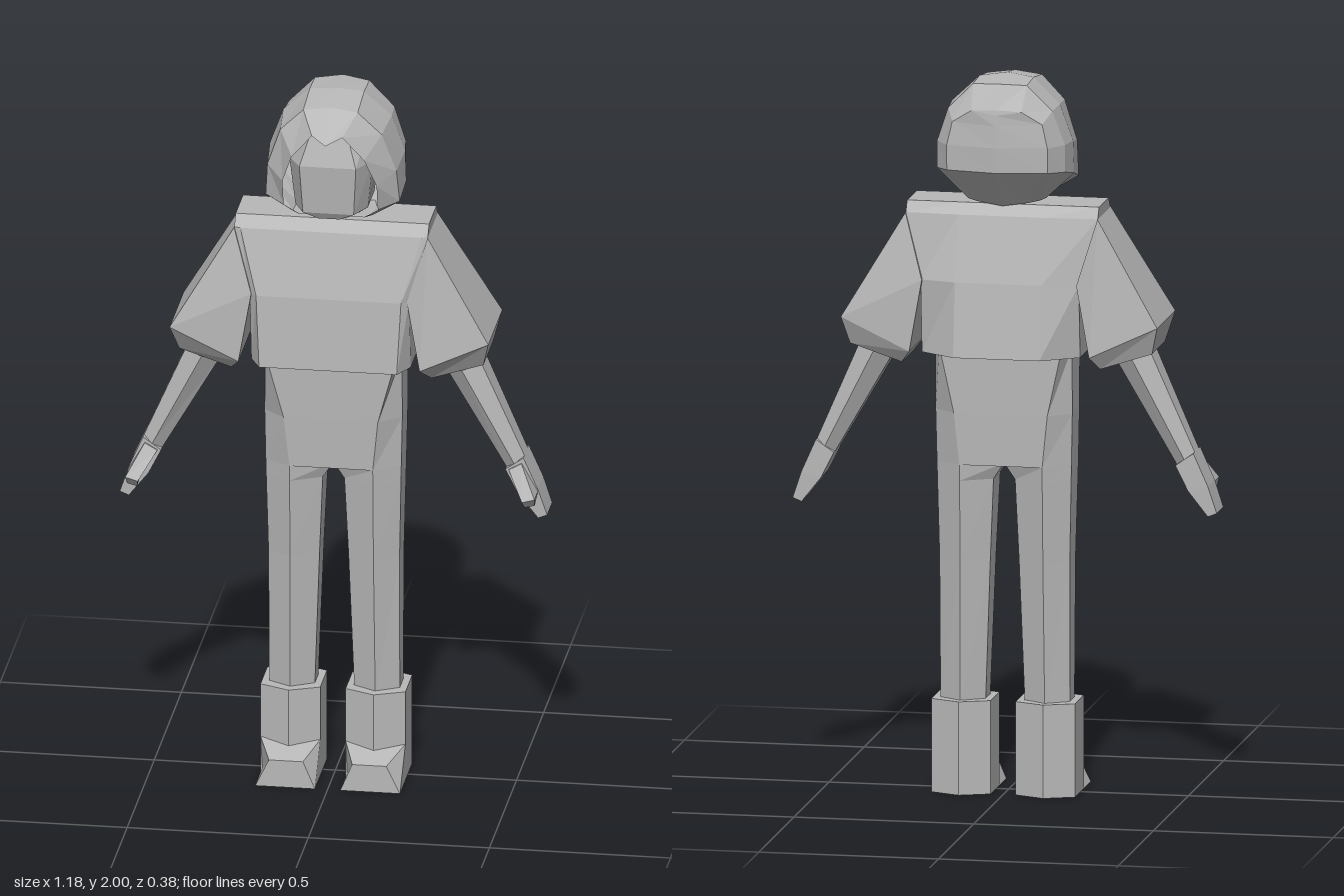
import * as THREE from 'three';

const grey = new THREE.MeshStandardMaterial({ color: 0xb8b8b8, flatShading: true, side: THREE.DoubleSide });
grey.name = 'grey';

// Skin a list of cross-sections (bottom to top, anticlockwise from above)
function loft(rings, { closed = true, caps = true } = {}) {
  const pos = [];
  const tri = (a, b, c) => pos.push(...a, ...b, ...c);
  const n = rings[0].length;
  for (let r = 0; r < rings.length - 1; r++) {
    const a = rings[r], b = rings[r + 1];
    for (let i = 0; i < (closed ? n : n - 1); i++) {
      const j = (i + 1) % n;
      tri(a[i], a[j], b[j]);
      tri(a[i], b[j], b[i]);
    }
  }
  if (caps) {
    const lo = rings[0], hi = rings[rings.length - 1];
    for (let i = 1; i < n - 1; i++) {
      tri(lo[0], lo[i + 1], lo[i]);
      tri(hi[0], hi[i], hi[i + 1]);
    }
  }
  const g = new THREE.BufferGeometry();
  g.setAttribute('position', new THREE.Float32BufferAttribute(pos, 3));
  g.computeVertexNormals();
  return g;
}

const flip = ([x, y, z]) => [-x, y, z];

// Symmetric ring from its +x half, given front to back as [x, z]
function symRing(y, half) {
  const h = half.map(([x, z]) => [x, y, z]);
  return [...h, ...h.map(flip).reverse()];
}

// Six-sided limb section with a ridge at front and back
function hex(inner, outer, [zf, s1, s2, zb], mid) {
  const [xi, yi] = inner, [xo, yo] = outer;
  const xm = mid ?? (xi + xo) / 2, ym = (yi + yo) / 2;
  return [[xm, ym, zf], [xo, yo, s1], [xo, yo, s2], [xm, ym, zb], [xi, yi, s2], [xi, yi, s1]];
}

// Four-sided limb section
function quad([xi, yi], [xo, yo], zf, zb) {
  return [[xo, yo, zf], [xo, yo, zb], [xi, yi, zb], [xi, yi, zf]];
}

export function createModel() {
  const group = new THREE.Group();
  const add = (name, geo) => {
    const m = new THREE.Mesh(geo, grey);
    m.name = name;
    group.add(m);
  };
  const pair = (name, rings, opts) => {
    add('left' + name, loft(rings, opts));
    add('right' + name, loft(rings.map(r => r.map(flip).reverse()), opts));
  };

  // Shirt body
  add('shirt', loft([
    symRing(1.23, [[0.19, 0.14], [0.22, 0.08], [0.22, -0.11], [0.12, -0.18]]),
    symRing(1.435, [[0.2, 0.128], [0.22, 0.11], [0.22, -0.13], [0.12, -0.155]]),
    symRing(1.615, [[0.25, 0.085], [0.267, 0.08], [0.267, -0.1], [0.12, -0.108]]),
    symRing(1.645, [[0.25, 0.055], [0.267, 0.055], [0.267, -0.08], [0.12, -0.08]]),
  ]));

  // Flared sleeves with a turned-in cuff
  pair('Sleeve', [
    quad([0.276, 1.2], [0.42, 1.247], 0.075, -0.11),
    quad([0.25, 1.235], [0.44, 1.325], 0.12, -0.14),
    quad([0.215, 1.435], [0.267, 1.615], 0.085, -0.105).map(
      (p, i) => (i < 2 ? p : [p[0], p[1], i === 2 ? -0.14 : 0.118])),
  ]);

  // Arms, hands and thumbs
  pair('Arm', [
    hex([0.475, 0.93], [0.525, 0.965], [0.042, 0.02, -0.04, -0.062]),
    hex([0.31, 1.215], [0.4, 1.25], [0.07, 0.03, -0.05, -0.085]),
  ]);
  pair('Hand', [
    quad([0.565, 0.79], [0.59, 0.8], 0.036, -0.058),
    quad([0.51, 0.86], [0.565, 0.875], 0.04, -0.06),
    quad([0.475, 0.93], [0.525, 0.965], 0.04, -0.06),
  ]);
  pair('Thumb', [
    quad([0.535, 0.838], [0.562, 0.845], 0.085, 0.07),
    quad([0.53, 0.86], [0.565, 0.87], 0.105, 0.04),
    quad([0.485, 0.93], [0.52, 0.95], 0.045, 0.02),
  ]);

  // Hips narrowing to the front and back leg ridges
  add('hips', loft([
    symRing(0.92, [[0.115, 0.08], [0.187, 0.035], [0.187, -0.065], [0.115, -0.115]]),
    symRing(1.065, [[0.13, 0.087], [0.19, 0.035], [0.19, -0.068], [0.13, -0.118]]),
    symRing(1.25, [[0.18, 0.092], [0.19, 0.04], [0.19, -0.07], [0.17, -0.12]]),
  ]));

  // Trouser legs
  pair('Leg', [
    hex([0.055, 0.24], [0.18, 0.24], [0.05, 0.015, -0.05, -0.09]),
    hex([0.04, 0.65], [0.181, 0.65], [0.067, 0.025, -0.058, -0.103], 0.115),
    hex([0.03, 0.875], [0.186, 0.875], [0.078, 0.034, -0.064, -0.113], 0.115),
    hex([0, 0.92], [0.187, 0.92], [0.08, 0.035, -0.065, -0.115], 0.115),
  ]);

  // Boots and toes
  const bootZ = [0.08, 0.045, -0.08, -0.115];
  pair('Boot', [0, 0.26].map(y => hex([0.035, y], [0.2, y], bootZ)));
  pair('Toe', [
    [[0.2, 0, 0.145], [0.2, 0, 0.03], [0.035, 0, 0.03], [0.035, 0, 0.145]],
    [[0.162, 0.078, 0.145], [0.2, 0.106, 0.045], [0.035, 0.106, 0.045], [0.068, 0.078, 0.145]],
  ]);

  // Neck and face
  add('neck', loft([
    symRing(1.62, [[0.035, 0.045], [0.07, 0], [0.035, -0.075]]),
    symRing(1.72, [[0.035, 0.045], [0.07, 0], [0.035, -0.075]]),
  ]));
  add('face', loft([
    symRing(1.67, [[0.03, 0.12], [0.075, 0.06], [0.08, -0.05]]),
    symRing(1.69, [[0.07, 0.132], [0.1, 0.07], [0.1, -0.05]]),
    symRing(1.83, [[0.078, 0.145], [0.115, 0.08], [0.12, -0.05]]),
    symRing(1.92, [[0.05, 0.12], [0.1, 0.07], [0.1, -0.05]]),
  ]));

  // Hair: arches from the front rim to the centre back, crown down to the nape
  const arches = [
    [[0, 1.91, 0.188], [0.042, 1.925, 0.155], [0.1, 1.855, 0.14], [0.13, 1.77, 0.11], [0.13, 1.69, 0.085], [0.09, 1.66, 0.07]],
    [[0, 1.985, 0.09], [0.075, 1.975, 0.09], [0.14, 1.91, 0.08], [0.178, 1.8, 0.065], [0.185, 1.705, 0.05], [0.11, 1.66, 0.05]],
    [[0, 2, -0.02], [0.075, 1.99, -0.03], [0.15, 1.92, -0.04], [0.187, 1.82, -0.04], [0.19, 1.73, -0.04], [0.11, 1.655, -0.03]],
    [[0, 1.99, -0.145], [0.075, 1.985, -0.125], [0.145, 1.915, -0.12], [0.178, 1.82, -0.11], [0.178, 1.745, -0.11], [0.1, 1.655, -0.07]],
    [[0, 1.925, -0.185], [0.07, 1.92, -0.178], [0.125, 1.885, -0.165], [0.14, 1.82, -0.168], [0.14, 1.75, -0.166], [0.07, 1.65, -0.085]],
    [[0, 1.925, -0.185], [0, 1.91, -0.188], [0, 1.88, -0.19], [0, 1.82, -0.193], [0, 1.75, -0.19], [0, 1.64, -0.09]],
  ];
  // Close the underside towards the middle
  const hair = arches.map(a => [...a, [0, a[5][1], a[5][2]]]).reverse();
  pair('Hair', hair.map(a => a.slice().reverse()), { closed: false, caps: false });

  return group;
}
